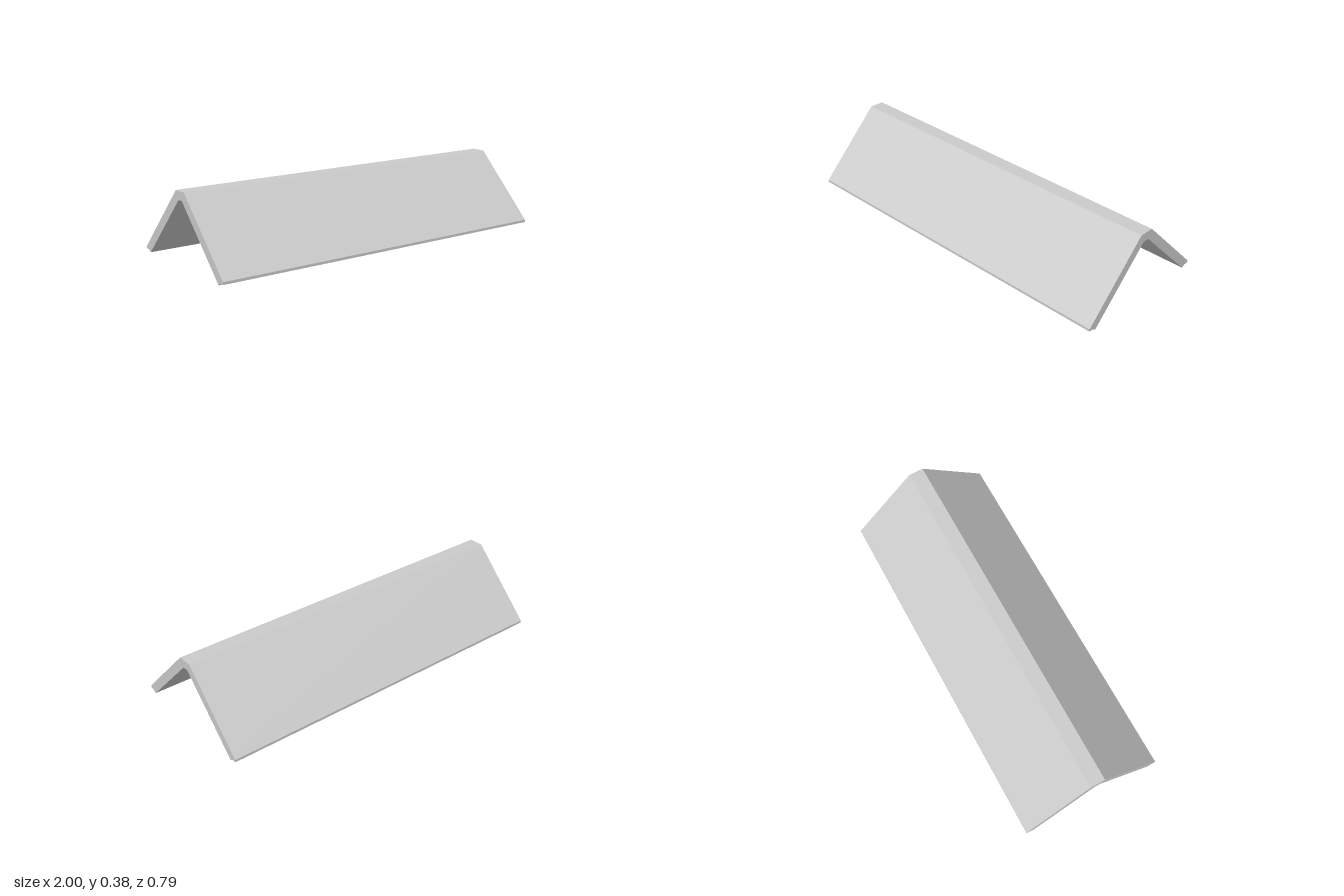
import * as THREE from 'three';

const LENGTH = 2;

// Extrude a (z, y) cross-section along the x axis
function beam(name, points, material) {
  const shape = new THREE.Shape(points.map(([z, y]) => new THREE.Vector2(z, y)));
  const geometry = new THREE.ExtrudeGeometry(shape, { depth: LENGTH, bevelEnabled: false });
  geometry.translate(0, 0, -LENGTH / 2);
  geometry.rotateY(-Math.PI / 2);
  const mesh = new THREE.Mesh(geometry, material);
  mesh.name = name;
  return mesh;
}

export function createModel() {
  const model = new THREE.Group();
  model.name = 'gableRoof';
  const material = new THREE.MeshStandardMaterial({ color: 0xcccccc });

  // Sloping panel: chamfered at the ridge, with a small lip at the eave
  const slope = [
    [0.017, 0.338], [0.353, 0.0], [0.375, 0.012], [0.396, 0.012],
    [0.396, 0.026], [0.389, 0.033], [0.053, 0.372], [0.041, 0.384],
  ];
  for (const [name, side] of [['frontSlope', 1], ['backSlope', -1]]) {
    model.add(beam(name, slope.map(([z, y]) => [z * side, y]), material));
  }

  // Flat ridge cap wedged between the slopes
  model.add(beam('ridgeCap', [
    [-0.017, 0.338], [0.017, 0.338], [0.041, 0.384], [-0.041, 0.384],
  ], material));

  return model;
}
